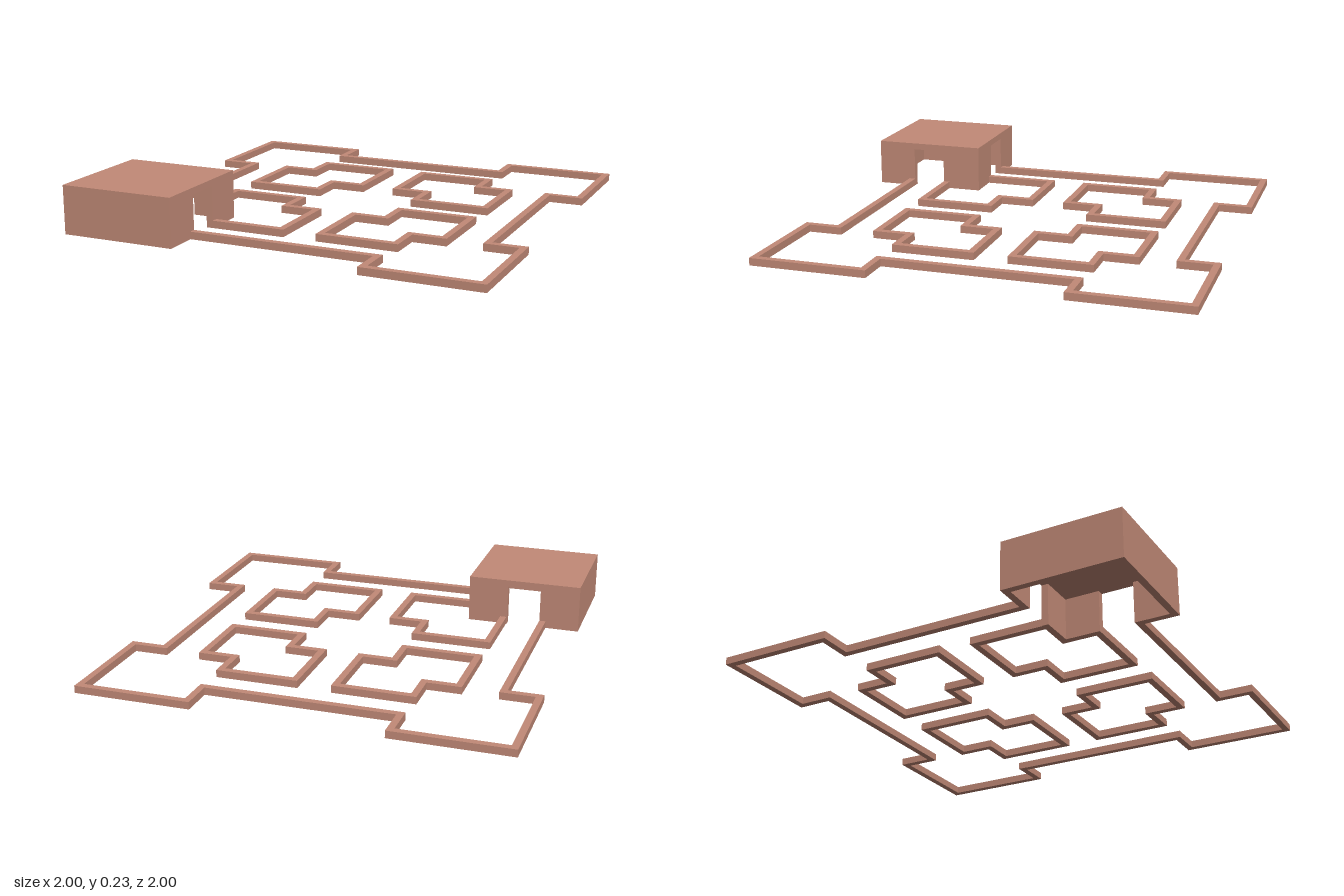
import * as THREE from 'three';

const WALL = 0.032;  // wall thickness
const LOW = 0.035;   // height of the unfinished walls
const ROOF = 0.198;  // underside of the roof
const TOP = 0.23;    // top of the roof

// Inset of a counter-clockwise right-angled outline by the wall thickness
function inset(points) {
  const normal = (a, b) => {
    const d = b.clone().sub(a).normalize();
    return new THREE.Vector2(-d.y * WALL, d.x * WALL);
  };
  const n = points.length;
  return points.map((p, i) => p.clone()
    .add(normal(points[(i + n - 1) % n], p))
    .add(normal(p, points[(i + 1) % n])));
}

// Closed wall that follows an [x, z] outline
function ringWall(outline) {
  const points = outline.map(([x, z]) => new THREE.Vector2(x, -z));
  if (THREE.ShapeUtils.isClockWise(points)) points.reverse();
  const shape = new THREE.Shape(points);
  shape.holes.push(new THREE.Path(inset(points).reverse()));
  const geometry = new THREE.ExtrudeGeometry(shape, { depth: LOW, bevelEnabled: false });
  return geometry.rotateX(-Math.PI / 2);
}

export function createModel() {
  const model = new THREE.Group();
  model.name = 'floorPlan';
  const clay = new THREE.MeshStandardMaterial({ color: 0xc28a77, side: THREE.DoubleSide });
  clay.name = 'clay';

  const add = (name, geometry, parent = model) => {
    const mesh = new THREE.Mesh(geometry, clay);
    mesh.name = name;
    parent.add(mesh);
  };

  // Outer wall: four corner rooms joined by corridors
  const outer = [];
  for (const [sx, sz] of [[1, -1], [1, 1], [-1, 1], [-1, -1]]) {
    const corner = [[0.443, 0.837], [0.443, 1], [1, 1], [1, 0.443], [0.837, 0.443]];
    if (sx * sz > 0) corner.reverse();
    outer.push(...corner.map(([x, z]) => [x * sx, z * sz]));
  }
  add('outerWall', ringWall(outer));

  // Four notched islands between the corridors
  const island = [
    [0.08, 0.64], [0.475, 0.64], [0.475, 0.475], [0.637, 0.475],
    [0.637, 0.08], [0.245, 0.08], [0.245, 0.245], [0.08, 0.245],
  ];
  for (const sx of [-1, 1]) {
    for (const sz of [-1, 1]) {
      add('islandWall', ringWall(island.map(([x, z]) => [x * sx, z * sz])));
    }
  }

  // Finished corner room with a doorway to each corridor, open underneath
  const room = new THREE.Group();
  room.name = 'cornerRoom';
  model.add(room);
  const block = (name, x0, x1, y0, y1, z0, z1) => {
    const geometry = new THREE.BoxGeometry(x1 - x0, y1 - y0, z1 - z0);
    geometry.translate((x0 + x1) / 2, (y0 + y1) / 2, (z0 + z1) / 2);
    add(name, geometry, room);
  };
  const near = 0.443;
  const inner = near + WALL;
  block('roof', -1, -near, ROOF, TOP, near, 1);
  block('outerSideWall', -1, WALL - 1, 0, ROOF, near, 1);
  block('frontWall', -1, -near, 0, ROOF, 1 - WALL, 1);
  block('backWallOuter', -1, -0.805, 0, ROOF, near, inner);
  block('backWallInner', -0.64, -near, 0, ROOF, near, inner);
  block('doorSideWallOuter', -inner, -near, 0, ROOF, 0.805, 1);
  block('doorSideWallInner', -inner, -near, 0, ROOF, near, 0.64);

  return model;
}
